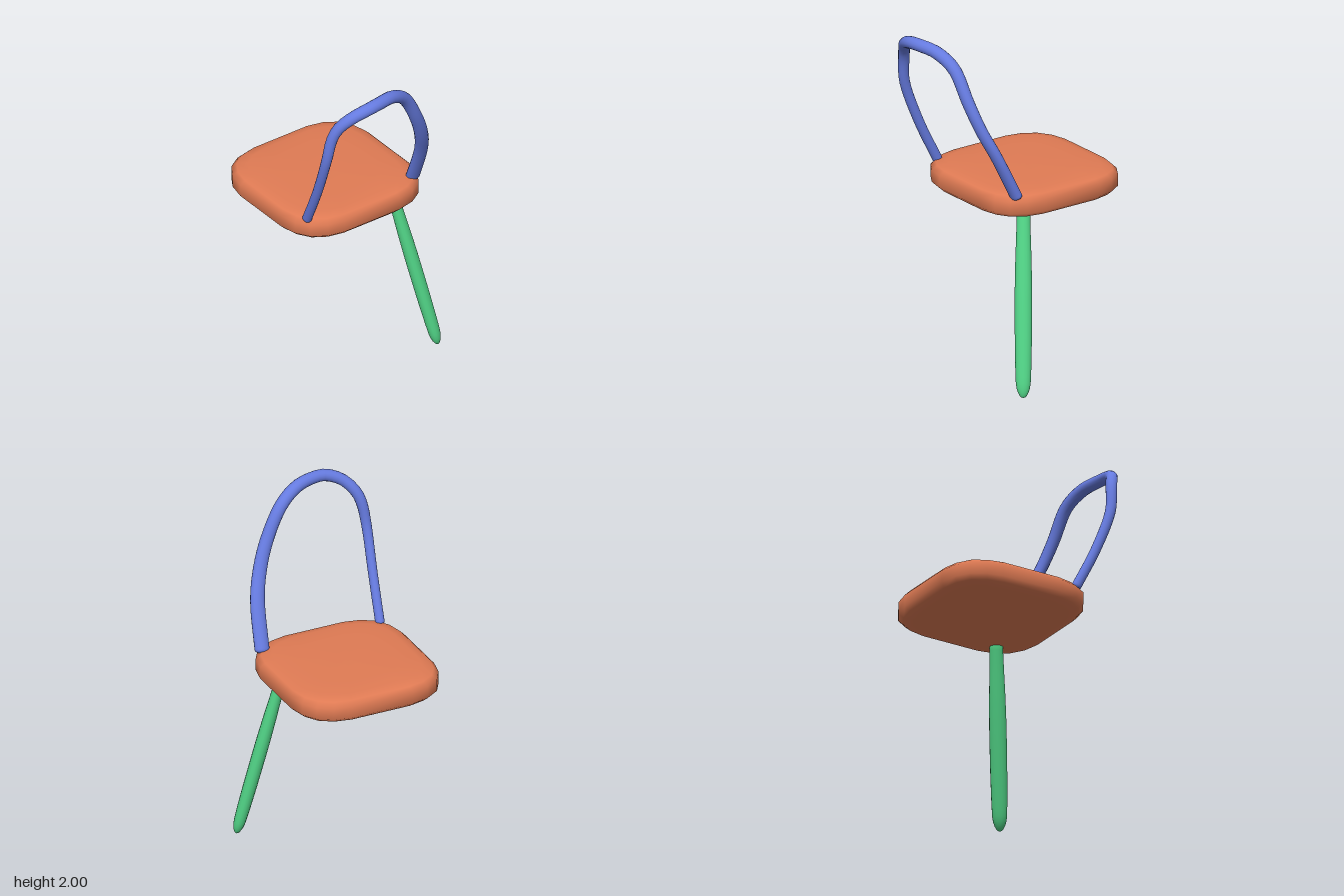
import * as THREE from 'three';

const V = (x, y, z) => new THREE.Vector3(x, y, z);

// Skin a stack of closed rings; each ring runs counter-clockwise about the stacking direction.
function loft(name, rings, color) {
  const n = rings[0].length, index = [];
  for (let i = 0; i < rings.length - 1; i++) {
    for (let j = 0; j < n; j++) {
      const a = i * n + j, b = i * n + (j + 1) % n;
      index.push(a, b, b + n, a, b + n, a + n);
    }
  }
  const geo = new THREE.BufferGeometry().setFromPoints(rings.flat());
  geo.setIndex(index);
  geo.computeVertexNormals();
  const mesh = new THREE.Mesh(geo, new THREE.MeshStandardMaterial({ color }));
  mesh.name = name;
  return mesh;
}

// Sweep an ellipse along a curve: radii(u) gives [in-plane, along normal]; ends are rounded off.
function sweep(name, curve, normal, radii, caps, steps, color) {
  const length = curve.getLength(), sides = 16, rings = [];
  const round = (d, cap) => (d >= cap ? 1 : Math.sqrt(Math.max(0, 1 - (1 - d / cap) ** 2)));
  for (let i = 0; i <= steps; i++) {
    const u = (1 - Math.cos(Math.PI * i / steps)) / 2;
    const p = curve.getPointAt(u), t = curve.getTangentAt(u);
    const side = normal.clone().cross(t).normalize();
    const out = t.clone().cross(side);
    const k = round(u * length, caps[0]) * round((1 - u) * length, caps[1]);
    const [a, b] = radii(u);
    rings.push(Array.from({ length: sides }, (_, j) => {
      const w = j / sides * Math.PI * 2;
      return p.clone().addScaledVector(side, a * k * Math.cos(w)).addScaledVector(out, b * k * Math.sin(w));
    }));
  }
  return loft(name, rings, color);
}

// Piecewise-linear lookup through evenly spaced values
function lerpList(list, u) {
  const f = Math.min(u, 0.9999) * (list.length - 1), i = Math.floor(f);
  return THREE.MathUtils.lerp(list[i], list[i + 1], f - i);
}

// Square cushion with cut, softened corners and a pillowed edge
function makeSeat() {
  const half = 0.4415;
  const corner = [[0.19, 0.4415], [0.29, 0.42], [0.37, 0.37], [0.42, 0.29], [0.4415, 0.19]];
  const outline = [];
  for (let q = 0; q < 4; q++) {
    const c = Math.round(Math.cos(q * Math.PI / 2)), s = Math.round(Math.sin(q * Math.PI / 2));
    for (const [x, z] of corner) outline.push([x * c + z * s, z * c - x * s]);
  }
  // [inset, height] from the underside to the top
  const profile = [
    [half, 1.005], [0.2, 1.007], [0.08, 1.012], [0.025, 1.025], [0, 1.05],
    [0, 1.12], [0.025, 1.146], [0.08, 1.158], [0.2, 1.163], [half, 1.165],
  ];
  const rings = profile.map(([inset, y]) => {
    const k = 1 - inset / half;
    return outline.map(([x, z]) => V(-0.123 + x * k, y, 0.04 + z * k));
  });
  return loft('seat', rings, 0xe07b54);
}

export function createModel() {
  const model = new THREE.Group();
  model.name = 'chair';
  model.add(makeSeat());

  // Single splayed leg, slightly flattened and thicker in the middle
  const leg = new THREE.LineCurve3(V(0.095, 1.04, -0.247), V(0.253, 0.004, -0.457));
  const legWidth = [0.036, 0.04, 0.045, 0.048, 0.048, 0.047, 0.044, 0.038];
  model.add(sweep('leg', leg, V(0.6, 0, -0.8),
    (u) => { const a = lerpList(legWidth, u); return [a, a * 0.82]; },
    [0.03, 0.09], 28, 0x52d688));

  // Looped backrest rail, thicker at the rear foot and thin at the front foot
  const rail = new THREE.CatmullRomCurve3([
    V(0.195, 1.13, -0.325), V(0.32, 1.4, -0.293), V(0.385, 1.55, -0.245), V(0.425, 1.7, -0.182),
    V(0.45, 1.88, -0.08), V(0.485, 1.95, 0.03), V(0.513, 1.964, 0.14), V(0.52, 1.96, 0.22),
    V(0.495, 1.925, 0.31), V(0.455, 1.86, 0.373), V(0.435, 1.79, 0.403), V(0.415, 1.65, 0.425),
    V(0.325, 1.4, 0.419), V(0.197, 1.13, 0.403),
  ], false, 'centripetal');
  const inPlane = [0.043, 0.043, 0.04, 0.037, 0.036, 0.034, 0.031, 0.027, 0.026, 0.026];
  const across = [0.032, 0.031, 0.032, 0.035, 0.037, 0.036, 0.032, 0.029, 0.028, 0.028];
  model.add(sweep('backrestRail', rail, V(0.93, -0.36, 0),
    (u) => [lerpList(inPlane, u), lerpList(across, u)], [0.02, 0.02], 80, 0x667be0));

  return model;
}
